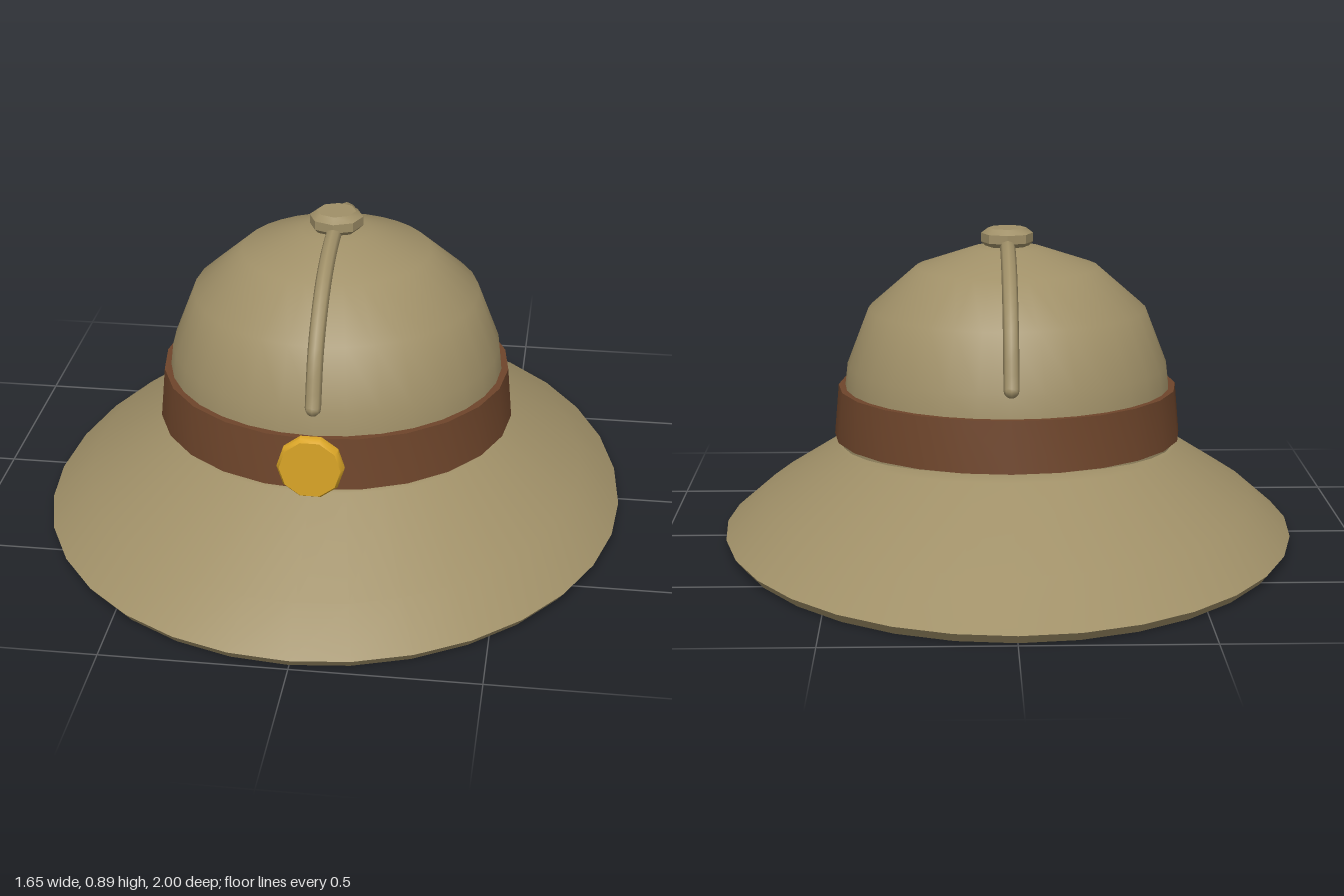
import * as THREE from 'three';
import { toCreasedNormals } from 'three/addons/utils/BufferGeometryUtils.js';

const CENTRE_Z = 0.07; // the crown sits a little forward on the brim

const khaki = new THREE.MeshStandardMaterial({ color: 0xa09068 });
khaki.name = 'khaki cloth';
const leather = new THREE.MeshStandardMaterial({ color: 0x6e452b });
leather.name = 'brown leather';
const brass = new THREE.MeshStandardMaterial({ color: 0xdaa526 });
brass.name = 'brass';

function part(name, geometry, material) {
  const mesh = new THREE.Mesh(geometry, material);
  mesh.name = name;
  return mesh;
}

// Turned solid from [radius, height] pairs, listed from bottom to top.
function turned(profile, sides, crease = 0.6) {
  const points = profile.map(([r, y]) => new THREE.Vector2(r, y));
  return toCreasedNormals(new THREE.LatheGeometry(points, sides), crease);
}

// Surface through egg-shaped rings around the crown's axis:
// half width, front reach, back reach, height at the sides, height at front and back.
function ovalSurface(rings, sides = 32) {
  const positions = [], indices = [];
  rings.forEach(([rx, front, back, ySide, yEnd], i) => {
    for (let j = 0; j < sides; j++) {
      const a = (j / sides) * Math.PI * 2, c = Math.cos(a);
      positions.push(rx * Math.sin(a), ySide + (yEnd - ySide) * c * c, c * (c > 0 ? front : back));
      if (i === rings.length - 1) continue;
      const k = (j + 1) % sides;
      const p = i * sides + j, q = i * sides + k;
      indices.push(p, p + sides, q, q, p + sides, q + sides);
    }
  });
  const geometry = new THREE.BufferGeometry();
  geometry.setAttribute('position', new THREE.Float32BufferAttribute(positions, 3));
  geometry.setIndex(indices);
  geometry.computeVertexNormals();
  return geometry;
}

// Thick brim; its underside stops short of the crown at the back, leaving the band visible from below.
function createBrim() {
  const brim = new THREE.Group();
  brim.name = 'brim';
  const rim = [0.825, 0.93, 1.07, 0.025, 0.025];
  const lip = [0.805, 0.91, 1.05, 0, 0];
  brim.add(
    part('brimTop', ovalSurface([
      [0.48, 0.495, 0.495, 0.268, 0.29],
      [0.49, 0.515, 0.585, 0.265, 0.288],
      [0.71, 0.805, 0.885, 0.125, 0.12],
      rim,
    ]), khaki),
    part('brimEdge', ovalSurface([rim, lip]), khaki),
    part('brimUnderside', ovalSurface([
      lip,
      [0.7, 0.79, 0.88, 0.07, 0.08],
      [0.485, 0.51, 0.585, 0.165, 0.255],
    ]), khaki)
  );
  return brim;
}

// Raised seam running over the crown from front to back.
function createSeam() {
  const seam = new THREE.Group();
  seam.name = 'seam';
  const half = [[0.467, 0.515], [0.41, 0.655], [0.285, 0.775], [0.15, 0.832]];
  const path = [
    ...half.map(([z, y]) => new THREE.Vector3(0, y, z)),
    new THREE.Vector3(0, 0.848, 0),
    ...half.slice().reverse().map(([z, y]) => new THREE.Vector3(0, y, -z)),
  ];
  const curve = new THREE.CatmullRomCurve3(path);
  seam.add(part('seamCord', new THREE.TubeGeometry(curve, 32, 0.022, 8), khaki));
  for (const end of [path[0], path[path.length - 1]]) {
    const tip = part('seamEnd', new THREE.SphereGeometry(0.022, 8, 6), khaki);
    tip.position.copy(end);
    seam.add(tip);
  }
  return seam;
}

export function createModel() {
  const hat = new THREE.Group();
  hat.name = 'sunHelmet';

  const body = new THREE.Group();
  body.name = 'hatBody';
  body.position.z = CENTRE_Z;
  hat.add(body);

  body.add(createBrim());

  // Domed crown, closed underneath
  const crown = turned([
    [0, 0.16], [0.482, 0.16], [0.485, 0.3], [0.473, 0.43], [0.465, 0.5],
    [0.402, 0.663], [0.265, 0.782], [0.1, 0.838], [0, 0.85],
  ], 32);
  body.add(part('crown', crown, khaki));

  body.add(createSeam());

  // Leather band
  const band = turned([[0.46, 0.29], [0.505, 0.29], [0.492, 0.436], [0.46, 0.436]], 24);
  body.add(part('band', band, leather));

  // Button on the top of the crown
  const button = turned([
    [0, 0.842], [0.062, 0.842], [0.075, 0.855], [0.075, 0.88], [0.055, 0.895], [0, 0.895],
  ], 8);
  body.add(part('topButton', button, khaki));

  // Round badge on the front of the band
  const badge = part('badge', turned([
    [0, 0], [0.083, 0], [0.091, 0.01], [0.091, 0.026], [0.083, 0.038], [0, 0.038],
  ], 10).rotateY(Math.PI / 10), brass);
  badge.rotation.x = Math.PI / 2;
  badge.position.set(0, 0.366, 0.497);
  body.add(badge);

  return hat;
}
